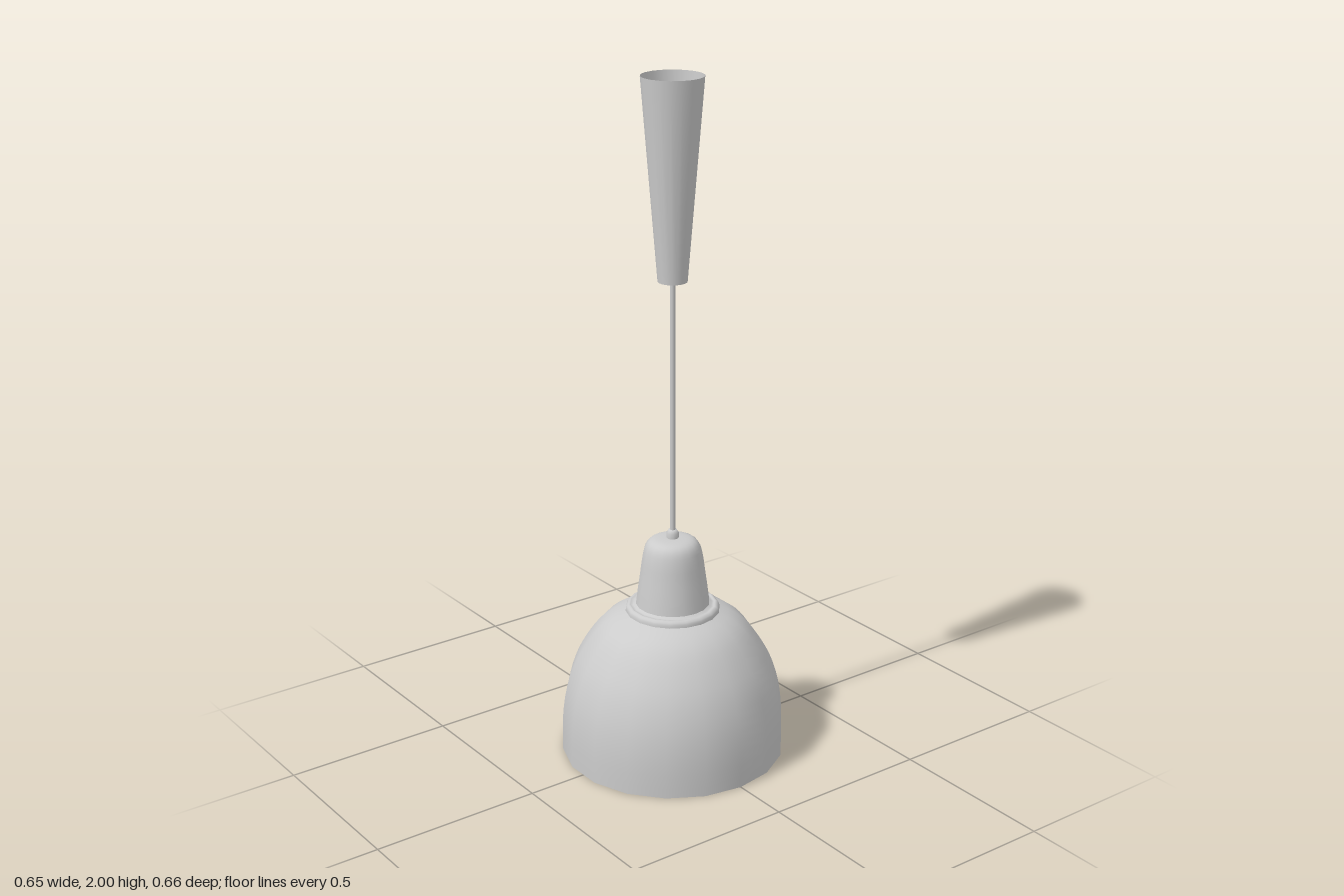
import * as THREE from 'three';

const SIDES = 18;
const grey = new THREE.MeshStandardMaterial({ color: 0xcccccc });
const greyThin = new THREE.MeshStandardMaterial({ color: 0xcccccc, side: THREE.DoubleSide });

const toPoints = (list) => list.map(([r, y]) => new THREE.Vector2(r, y));

// Smooth profile through a few points
const smooth = (list, n) => new THREE.SplineCurve(toPoints(list)).getPoints(n);

export function createModel() {
  const model = new THREE.Group();
  model.name = 'pendantLamp';

  // Turned part; a profile running upwards faces outwards
  const turn = (name, points, parent = model, material = grey, sides = SIDES) => {
    const mesh = new THREE.Mesh(new THREE.LatheGeometry(points, sides), material);
    mesh.name = name;
    parent.add(mesh);
    return mesh;
  };

  // Bell shade: outer wall, rim and inner wall, kept apart for sharp rim edges
  const shade = new THREE.Group();
  shade.name = 'shade';
  model.add(shade);
  const bell = [[0.328, 0], [0.327, 0.1], [0.316, 0.19], [0.292, 0.27],
    [0.258, 0.335], [0.218, 0.39], [0.178, 0.423], [0.138, 0.442]];
  const wall = 0.006;
  const outer = smooth(bell, 20);
  const inner = outer.map((p) => new THREE.Vector2(p.x - wall, Math.max(0, p.y - wall * p.y / 0.44))).reverse();
  turn('shadeOuter', outer, shade);
  turn('shadeInner', [new THREE.Vector2(0.04, 0.445), ...inner], shade);
  turn('shadeRim', toPoints([[0.328 - wall, 0], [0.328, 0]]), shade);

  // Rolled bead where the shade meets the cap
  turn('shadeBead', smooth([[0.138, 0.442], [0.136, 0.454], [0.127, 0.461], [0.118, 0.459], [0.106, 0.465]], 10), shade);

  // Tapered cap over the lamp holder
  turn('cap', smooth([[0.108, 0.462], [0.102, 0.51], [0.095, 0.56], [0.088, 0.61],
    [0.078, 0.645], [0.06, 0.662], [0.03, 0.667], [0, 0.667]], 22));

  // Cord grip and cord
  turn('cordGrip', toPoints([[0.018, 0.665], [0.018, 0.682], [0.012, 0.692], [0, 0.692]]), model, grey, 12);
  const cord = new THREE.Mesh(new THREE.CylinderGeometry(0.008, 0.008, 0.77, 10), grey);
  cord.name = 'cord';
  cord.position.y = 0.68 + 0.77 / 2;
  model.add(cord);

  // Ceiling cup: open at the top, closed by a floor
  turn('ceilingCup', toPoints([[0.042, 1.432], [0.088, 2]]), model, greyThin);
  const cupFloor = new THREE.Mesh(new THREE.CircleGeometry(0.042, SIDES), greyThin);
  cupFloor.name = 'ceilingCupFloor';
  cupFloor.rotation.set(-Math.PI / 2, 0, Math.PI / 2);
  cupFloor.position.y = 1.432;
  model.add(cupFloor);

  // Lamp holder and bulb inside the shade
  const holder = new THREE.Mesh(new THREE.CylinderGeometry(0.045, 0.045, 0.09, SIDES), grey);
  holder.name = 'lampHolder';
  holder.position.y = 0.41;
  model.add(holder);
  turn('bulb', smooth([[0, 0.162], [0.045, 0.175], [0.076, 0.21], [0.084, 0.25],
    [0.074, 0.29], [0.05, 0.33], [0.036, 0.37]], 20));

  return model;
}
